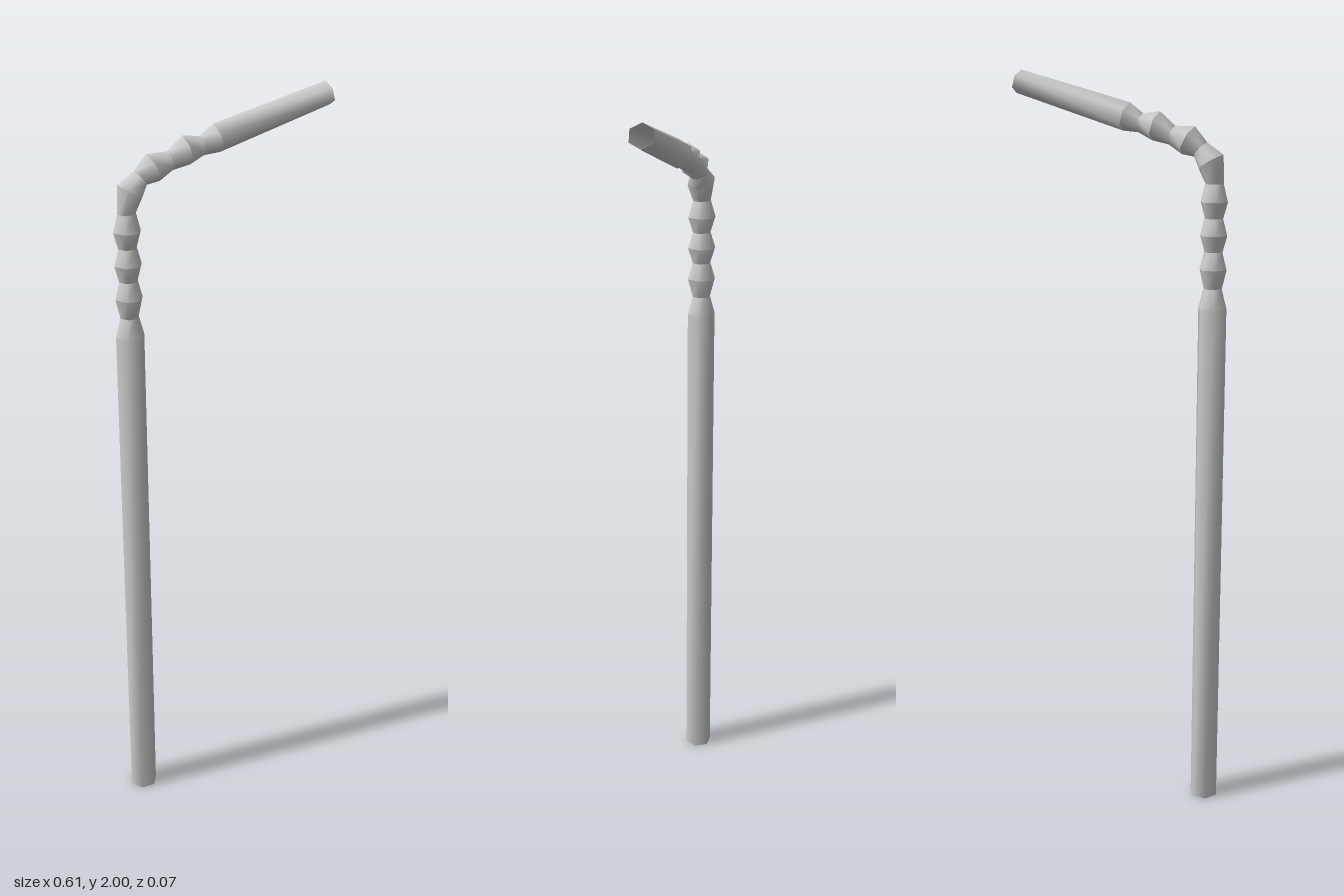
import * as THREE from 'three';

const SIDES = 6;
const material = new THREE.MeshStandardMaterial({ color: 0xcccccc, side: THREE.DoubleSide });

// One hexagonal ring: centre x, y, axis angle in degrees, radius in the bend plane, radius across it
const ring = (x, y, angle, rIn, rAcross = rIn) => ({ x, y, t: THREE.MathUtils.degToRad(angle), rIn, rAcross });

// Open tube skinned over rings; each span has its own vertices so ring edges stay sharp
function loft(name, rings) {
  const positions = [], index = [];
  for (let s = 0; s < rings.length - 1; s++) {
    const base = positions.length / 3;
    for (const r of [rings[s], rings[s + 1]]) {
      for (let k = 0; k < SIDES; k++) {
        const a = (k / SIDES) * Math.PI * 2;
        const d = Math.cos(a) * r.rIn;
        positions.push(r.x + Math.sin(r.t) * d, r.y - Math.cos(r.t) * d, Math.sin(a) * r.rAcross);
      }
    }
    for (let k = 0; k < SIDES; k++) {
      const a = base + k, b = base + (k + 1) % SIDES;
      index.push(a, a + SIDES, b, b, a + SIDES, b + SIDES);
    }
  }
  const geometry = new THREE.BufferGeometry();
  geometry.setAttribute('position', new THREE.Float32BufferAttribute(positions, 3));
  geometry.setIndex(index);
  geometry.computeVertexNormals();
  const mesh = new THREE.Mesh(geometry, material);
  mesh.name = name;
  return mesh;
}

export function createModel() {
  const group = new THREE.Group();
  group.name = 'bendyStraw';

  const X = -0.265, WIDE = 0.039, NECK = 0.025;
  const stemTop = ring(X, 1.405, 90, WIDE);
  const spoutStart = ring(-0.02, 1.884, 15.2, 0.037, WIDE);

  // Long straight stem, open at the bottom
  group.add(loft('stem', [ring(X, 0, 90, WIDE), stemTop]));

  // Pleats: straight part, alternating necks and bulges
  const pleats = [stemTop];
  [1.455, 1.505, 1.55, 1.592, 1.635, 1.677, 1.722].forEach((y, i) =>
    pleats.push(ring(X, y, 90, i % 2 ? 0.037 : NECK, i % 2 ? WIDE : NECK)));

  // Pleats: bent part
  pleats.push(
    ring(-0.255, 1.776, 60, 0.038, WIDE),
    ring(-0.226, 1.806, 43, NECK),
    ring(-0.192, 1.828, 27, WIDE),
    ring(-0.147, 1.84, 19, NECK),
    ring(-0.103, 1.862, 16, 0.038, WIDE),
    ring(-0.06, 1.869, 15.2, NECK),
    spoutStart
  );
  group.add(loft('pleatedBend', pleats));

  // Slightly tapered spout, open at the tip
  group.add(loft('spout', [spoutStart, ring(0.294, 1.97, 15.2, 0.031, 0.035)]));

  return group;
}
